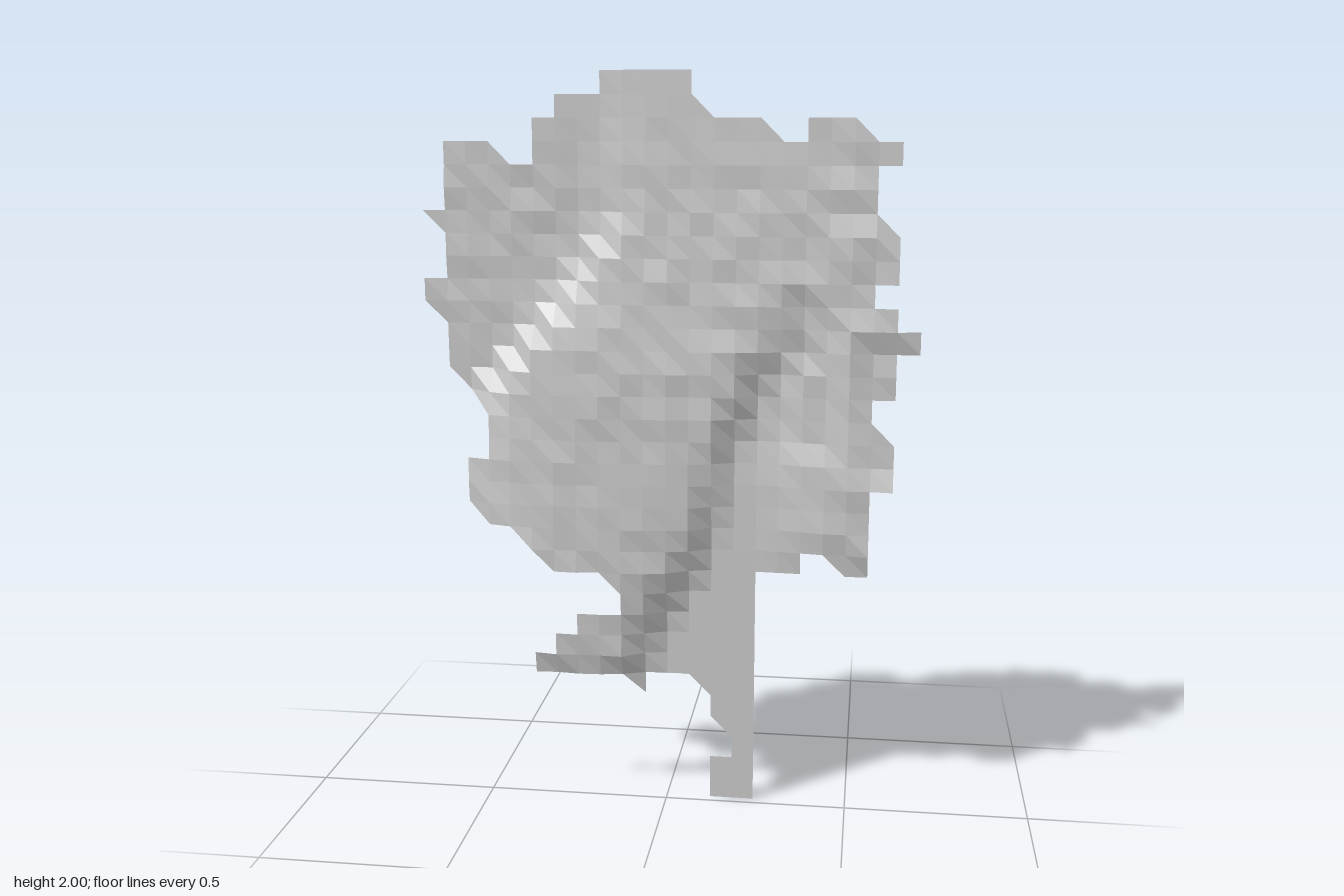
import * as THREE from 'three';

const CELL = 2 / 33;
const { lerp, clamp, smoothstep } = THREE.MathUtils;

// Piecewise-linear curve through [position, value] points
function along(points, t) {
  for (let k = 1; k < points.length; k++) {
    const [a, va] = points[k - 1], [b, vb] = points[k];
    if (t <= b) return lerp(va, vb, clamp((t - a) / (b - a), 0, 1));
  }
  return points[points.length - 1][1];
}

// Repeatable roughness per grid point, -1 to 1
function rough(i, j) {
  const s = Math.sin(i * 127.1 + j * 311.7) * 43758.5453;
  return (s - Math.floor(s)) * 2 - 1;
}

const TRUNK_Z = -0.026;
const bulge = [[0.3, -0.01], [0.42, 0.03], [0.55, 0.04], [0.7, 0.047], [1.0, 0.036],
  [1.2, 0.03], [1.4, 0.003], [1.6, -0.018], [1.8, -0.031], [2, -0.04]];
const crease = [[0.36, -0.1], [0.5, -0.06], [0.7, 0.06], [1, 0.14], [1.2, 0.23], [1.45, 0.38], [2, 0.6]];

// Relief depth of the tree at a grid point
function depth(i, j) {
  const x = i * CELL, y = j * CELL;
  if (y < 0.3) return TRUNK_Z;
  // leaf mass swelling forward at the left, thinner towards the right
  let z = along(bulge, y);
  z -= 0.03 * smoothstep(x, -0.25, 0.25) * smoothstep(1.7 - y, 0, 0.7);
  z -= 0.035 * smoothstep(-x, 0.38, 0.56) * smoothstep(y, 0.65, 0.8);
  let noise = 0.006 * smoothstep(2 - y, 0.05, 0.4);
  // upper left clump set back behind a step
  const edge = y - (1.74 + 1.2 * x);
  const back = smoothstep(edge, -0.04, 0.05) * smoothstep(-x, 0.08, 0.22);
  z = lerp(z, -0.047, back);
  // trunk and right side set back beyond the diagonal crease
  const right = smoothstep(x - along(crease, y), -0.04, 0.06) * smoothstep(1.65 - y, 0, 0.3);
  const leaves = smoothstep(x, 0.22, 0.5) * smoothstep(y, 0.6, 0.75);
  z = lerp(z, TRUNK_Z - 0.018 * smoothstep(y, 0.9, 1.2) + 0.034 * leaves, right);
  noise *= 1 - right * (1 - leaves) * smoothstep(1.1 - y, 0, 0.2);
  return z + noise * (1 + 0.8 * leaves) * rough(i, j);
}

// Rows of [left, right] or [left bottom, left top, right bottom, right top] cells
const trunkRows = [
  [[2, 4]], [[2, 4]], [[3, 4]], [[3, 2, 4, 4]], [[2, 4]], [[2, 1, 4, 4], [-1, -2, -1, -1]],
];
const lowBranchRows = [[[-6, 4]], [[-5, 4]], [[-4, 4]], [[-2, 4]], [[-2, -3, 4, 4]]];
const crownRows = [
  [[-5, -6, 6, 6], [8, 7, 9, 9]], [[-6, -7, 9, 9]], [[-8, -9, 9, 9]], [[-9, 9]], [[-9, 10]],
  [[-8, 10]], [[-8, -8, 10, 9]], [[-8, -9, 9, 9]], [[-9, -10, 10, 10]], [[-10, 10]],
  [[-10, 11]], [[-10, -11, 10, 10]], [[-11, 9]], [[-10, 10]], [[-10, 10]],
  [[-10, -11, 10, 9]], [[-10, 9]], [[-10, 9]], [[-10, -10, -7, -8], [-6, 10]],
  [[-6, -6, 5, 4], [6, 6, 9, 8]], [[-5, -5, 2, 1]], [[-3, 1]],
];

function reliefMesh(name, rows, firstRow, material) {
  const pos = [];
  const add = (i, j) => pos.push(i * CELL, j * CELL, depth(i, j));
  rows.forEach((spans, r) => {
    const j = firstRow + r;
    for (const s of spans) {
      const [lb, lt, rb, rt] = s.length === 2 ? [s[0], s[0], s[1], s[1]] : s;
      for (let i = lb; i < rb; i++) { add(i, j); add(i + 1, j); add(i, j + 1); }
      for (let i = lt; i < rt; i++) { add(i + 1, j); add(i + 1, j + 1); add(i, j + 1); }
    }
  });
  const geometry = new THREE.BufferGeometry();
  geometry.setAttribute('position', new THREE.Float32BufferAttribute(pos, 3));
  geometry.computeVertexNormals();
  const mesh = new THREE.Mesh(geometry, material);
  mesh.name = name;
  return mesh;
}

export function createModel() {
  const group = new THREE.Group();
  group.name = 'treeRelief';
  const material = new THREE.MeshStandardMaterial({
    color: 0xcccccc, flatShading: true, side: THREE.DoubleSide,
  });
  group.add(
    reliefMesh('trunk', trunkRows, 0, material),
    reliefMesh('lowBranch', lowBranchRows, 6, material),
    reliefMesh('crown', crownRows, 11, material),
  );
  return group;
}
